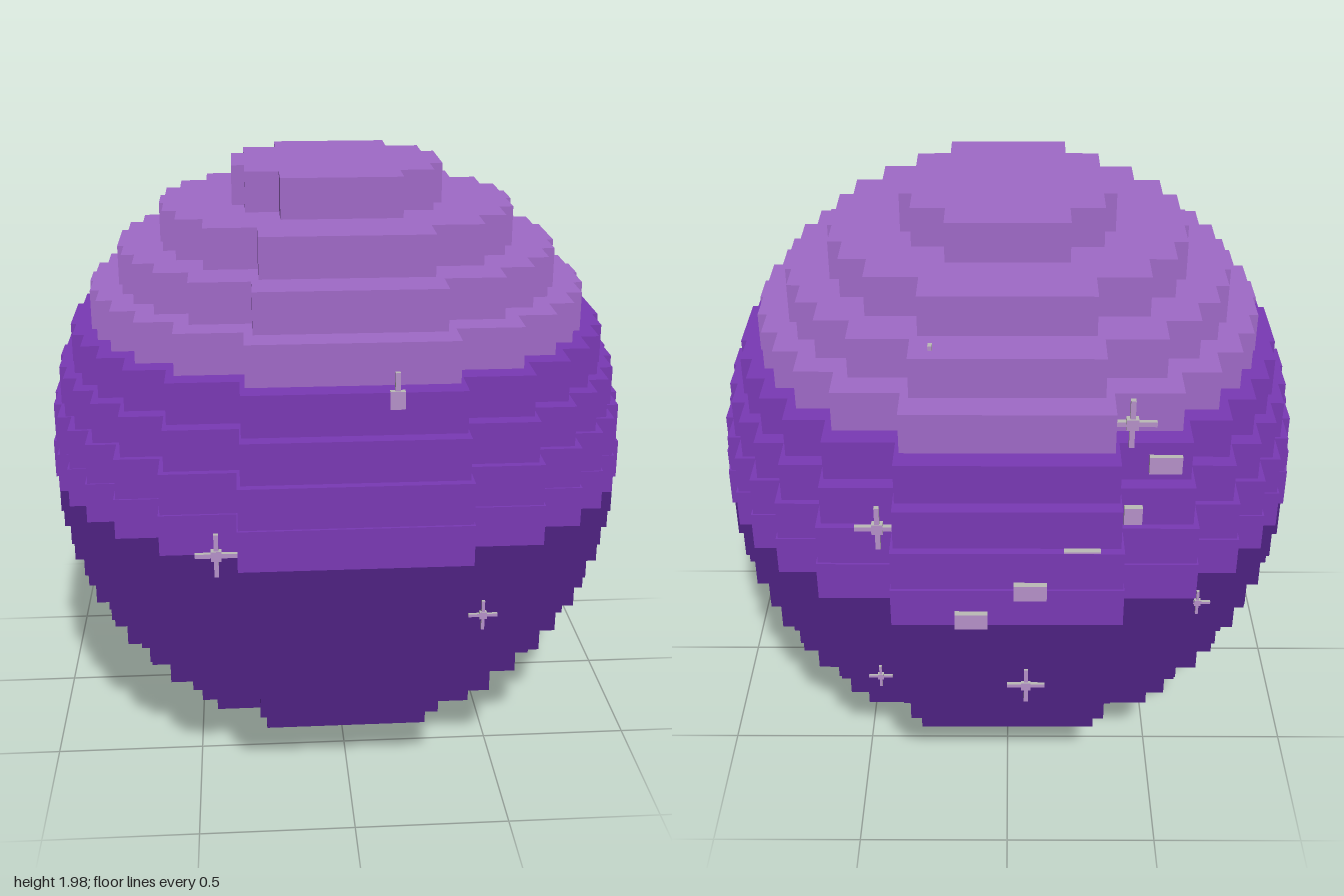
import * as THREE from 'three';

const R = 0.99, LAYERS = 15, STEP = (2 * R) / LAYERS, Z0 = 0.01;

function material(name, color) {
  const m = new THREE.MeshStandardMaterial({ color });
  m.name = name;
  return m;
}

// Stepped disc: rows of equal depth, each as wide as the circle at its middle
function steppedDisc(radius, rows) {
  const depth = (2 * radius) / rows;
  const right = [];
  for (let i = 0; i < rows; i++) {
    const a = -radius + i * depth;
    const mid = a + depth / 2;
    const w = Math.sqrt(radius * radius - mid * mid);
    right.push(new THREE.Vector2(w, a), new THREE.Vector2(w, a + depth));
  }
  const left = right.map((p) => new THREE.Vector2(-p.x, p.y)).reverse();
  const geo = new THREE.ExtrudeGeometry(new THREE.Shape([...right, ...left]), {
    depth: STEP, bevelEnabled: false,
  });
  return geo.rotateX(-Math.PI / 2);
}

export function createModel() {
  const model = new THREE.Group();
  model.name = 'steppedSphere';
  const dark = material('deep purple', 0x4e2182);
  const middle = material('purple', 0x7a39b5);
  const light = material('light purple', 0xa06ac8);
  const grey = material('pale grey', 0xbcbcb6);
  const lilac = material('lilac', 0xb692ca);

  // Body layers, three colour bands
  for (let k = 0; k < LAYERS; k++) {
    const y = (k + 0.5) * STEP - R;
    const radius = Math.sqrt(R * R - y * y);
    const rows = Math.ceil((2 * radius) / STEP - 1e-6);
    const mesh = new THREE.Mesh(steppedDisc(radius, rows), k < 7 ? dark : k < 11 ? middle : light);
    mesh.position.set(0, k * STEP, Z0);
    mesh.name = 'layer' + (k + 1);
    model.add(mesh);
  }

  // Grey boxes with lilac front and back
  const faces = [grey, grey, grey, grey, lilac, lilac];
  function box(parent, name, size, pos) {
    const mesh = new THREE.Mesh(new THREE.BoxGeometry(...size), faces);
    mesh.position.set(...pos);
    mesh.name = name;
    parent.add(mesh);
  }

  // Sparkles: crossed arms with a small core
  const sparkles = [
    [-0.42, 0.945, 0.92, 0.14], [0.41, 0.69, 0.875, 0.1],
    [-0.06, 0.65, -0.945, 0.13], [-0.61, 0.86, -0.785, 0.09],
    [0.42, 0.55, -0.79, 0.085], [0.39, 1.235, -0.905, 0.15],
    [-0.37, 1.54, -0.8, 0.16],
  ];
  for (const [x, y, z, s] of sparkles) {
    const star = new THREE.Group();
    star.name = 'sparkle';
    star.position.set(x, y, z);
    const t = s * 0.1;
    box(star, 'verticalArm', [t, s, t], [0, 0, 0]);
    box(star, 'horizontalArm', [s * 0.92, t, t], [0, 0, 0]);
    box(star, 'core', [s * 0.23, s * 0.23, s * 0.16], [0, 0, 0]);
    model.add(star);
  }

  // Half-sunken sparkles: only a block and a tip show
  box(model, 'sunkenBlock', [0.045, 0.055, 0.02], [0.125, 1.428, 0.912]);
  box(model, 'sunkenTip', [0.015, 0.06, 0.015], [0.125, 1.482, 0.91]);
  box(model, 'sunkenTip', [0.013, 0.03, 0.02], [0.23, 1.717, -0.67]);

  // Small plates on the back
  const plates = [
    [0.11, 0.95, -0.99, 0.1, 0.055], [-0.07, 1.06, -0.99, 0.1, 0.055],
    [-0.378, 1.27, -0.885, 0.055, 0.06], [-0.48, 1.38, -0.775, 0.1, 0.06],
    [-0.225, 1.188, -0.96, 0.11, 0.012],
  ];
  for (const [x, y, z, w, h] of plates) box(model, 'backPlate', [w, h, 0.02], [x, y, z]);

  return model;
}
